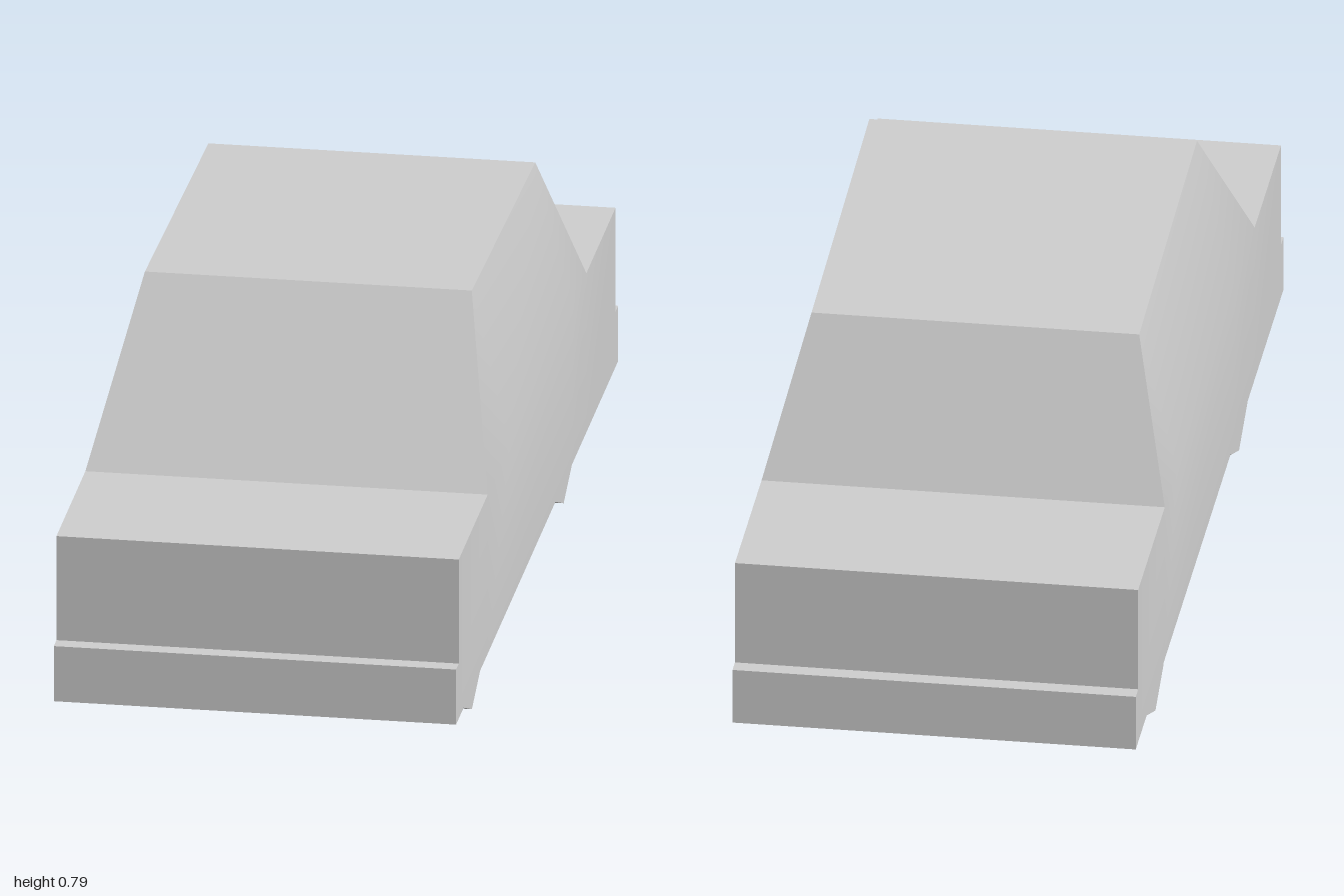
import * as THREE from 'three';
import { toCreasedNormals } from 'three/addons/utils/BufferGeometryUtils.js';

const BOTTOM = 0.136, BELT = 0.471, HALF_WIDTH = 0.4, ROOF_HALF_WIDTH = 0.325;

// Cross-sections from front to back: [z, top height, half width at the top]
const STATIONS = [
  [1, 0.252, HALF_WIDTH],          // front bumper
  [0.967, 0.252, HALF_WIDTH],
  [0.967, BELT, HALF_WIDTH],       // hood
  [0.61, BELT, HALF_WIDTH],        // windshield base
  [0.341, 0.793, ROOF_HALF_WIDTH], // roof front
  [-0.442, 0.763, ROOF_HALF_WIDTH],// roof back
  [-0.607, BELT, HALF_WIDTH],      // rear window base
  [-0.967, BELT, HALF_WIDTH],      // trunk
  [-0.967, 0.252, HALF_WIDTH],
  [-1, 0.252, HALF_WIDTH],         // rear bumper
];

function bodyGeometry() {
  const rings = STATIONS.map(([z, top, half]) => {
    const belt = Math.min(top, BELT);
    return [
      [HALF_WIDTH, BOTTOM], [HALF_WIDTH, belt], [half, top],
      [-half, top], [-HALF_WIDTH, belt], [-HALF_WIDTH, BOTTOM],
    ].map(([x, y]) => new THREE.Vector3(x, y, z));
  });

  const positions = [];
  const addTriangle = (a, b, c) => {
    // Collapsed triangles are left out
    if (new THREE.Triangle(a, b, c).getArea() < 1e-6) return;
    for (const p of [a, b, c]) positions.push(p.x, p.y, p.z);
  };
  const addQuad = (a, b, c, d) => {
    addTriangle(a, b, c);
    addTriangle(a, c, d);
  };

  // Skin between neighbouring cross-sections
  for (let s = 0; s < rings.length - 1; s++) {
    const front = rings[s], back = rings[s + 1];
    for (let i = 0; i < 6; i++) {
      const j = (i + 1) % 6;
      addQuad(front[i], back[i], back[j], front[j]);
    }
  }

  // Bumper end faces
  const first = rings[0], last = rings[rings.length - 1];
  addQuad(first[0], first[1], first[4], first[5]);
  addQuad(last[5], last[4], last[1], last[0]);

  const geometry = new THREE.BufferGeometry();
  geometry.setAttribute('position', new THREE.Float32BufferAttribute(positions, 3));
  return toCreasedNormals(geometry, Math.PI / 6);
}

export function createModel() {
  const model = new THREE.Group();
  model.name = 'car';

  const body = new THREE.Mesh(bodyGeometry(), new THREE.MeshStandardMaterial({ color: 0xcccccc }));
  body.name = 'body';
  model.add(body);

  // Octagonal wheels, partly sunk into the floor
  const radius = 0.157;
  const wheelGeometry = new THREE.CylinderGeometry(radius, radius, 0.071, 8).rotateZ(Math.PI / 2);
  const wheelMaterial = new THREE.MeshStandardMaterial({ color: 0xcccccc, flatShading: true });
  for (const [end, z] of [['front', 0.566], ['rear', -0.566]]) {
    for (const [side, x] of [['Left', 0.326], ['Right', -0.34]]) {
      const wheel = new THREE.Mesh(wheelGeometry, wheelMaterial);
      wheel.name = `${end}${side}Wheel`;
      wheel.position.set(x, radius, z);
      model.add(wheel);
    }
  }

  return model;
}
